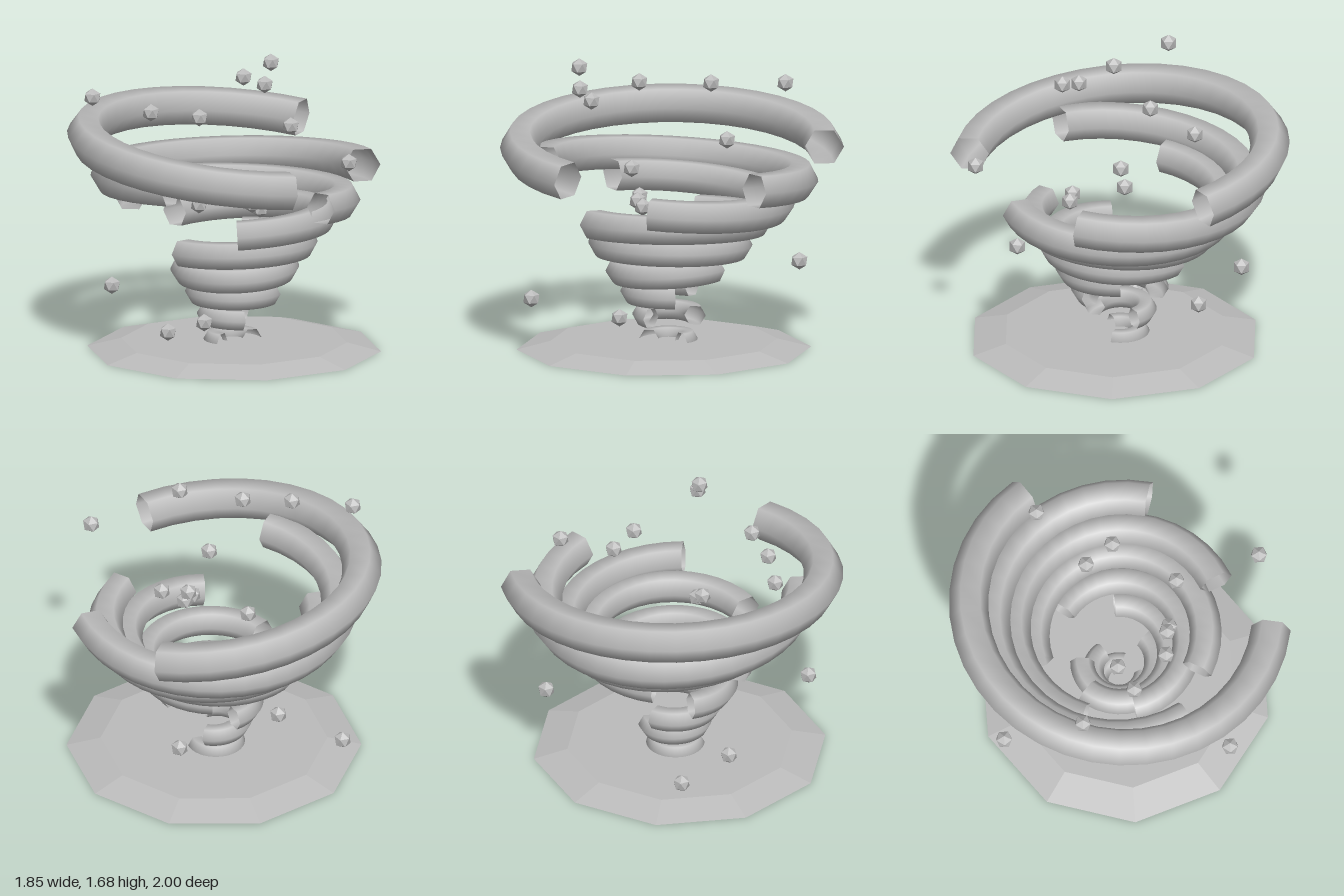
import * as THREE from 'three';

export function createModel() {
  const model = new THREE.Group();
  model.name = 'whirlwind';
  const grey = new THREE.MeshStandardMaterial({ color: 0xbbbbbb, side: THREE.DoubleSide });
  grey.name = 'stone grey';

  // Ten-sided bevelled ground disc with flat facets
  const discGeometry = new THREE.CylinderGeometry(0.66, 0.857, 0.05, 10).toNonIndexed();
  discGeometry.computeVertexNormals();
  const disc = new THREE.Mesh(discGeometry, grey);
  disc.name = 'groundDisc';
  disc.position.set(0.035, 0.025, 0.035);
  model.add(disc);

  // Open hexagonal-section arcs, widening upwards and turning 0.9 rad each.
  // Each tilt is the slope of the arc along x and along z.
  const tilts = [
    [0, 0], [-0.05, 0], [0, 0], [0.04, -0.04], [0.02, 0.04],
    [0.05, 0.045], [-0.045, 0.055], [0, 0.075], [-0.084, -0.066],
  ];
  const funnel = new THREE.Group();
  funnel.name = 'funnel';
  tilts.forEach(([slopeX, slopeZ], i) => {
    const t = i / 8;
    const radius = 0.115 + 0.77 * Math.pow(t, 1.47);
    const tube = 0.055 + 0.06 * t;
    const geometry = new THREE.TorusGeometry(radius, tube, 6, 24, Math.PI * 1.25);
    geometry.rotateZ(i * 0.9);
    geometry.rotateX(-Math.PI / 2);
    const ring = new THREE.Mesh(geometry, grey);
    ring.name = `funnelArc${i + 1}`;
    ring.rotation.set(-slopeZ, 0, slopeX);
    ring.position.set(0.035 + 0.004 * i, 0.053 + 0.1415 * i, 0);
    funnel.add(ring);
  });
  model.add(funnel);

  // Flying debris: small icosahedra standing on a corner
  const debrisGeometry = new THREE.IcosahedronGeometry(0.052, 0);
  debrisGeometry.rotateX(-Math.atan((1 + Math.sqrt(5)) / 2));
  const spots = [
    [-0.8, 1.53, -0.01], [-0.505, 1.475, 0.225], [-0.245, 1.46, 0.35],
    [0.153, 1.63, 0.315], [0.15, 1.555, -0.225], [0.395, 1.55, -0.583],
    [0.41, 1.27, -0.133], [0.565, 1.23, 0.707], [-0.177, 0.87, 0.045],
    [0.088, 0.91, 0.275], [0.135, 0.88, 0.275], [0.465, 0.5, -0.63],
    [-0.307, 0.33, 0.75], [-0.563, 0.28, -0.54], [-0.362, 0.12, 0.045],
  ];
  const debris = new THREE.Group();
  debris.name = 'debris';
  spots.forEach(([x, y, z], i) => {
    const chunk = new THREE.Mesh(debrisGeometry, grey);
    chunk.name = `debrisChunk${i + 1}`;
    chunk.position.set(x, y, z);
    debris.add(chunk);
  });
  model.add(debris);

  return model;
}
